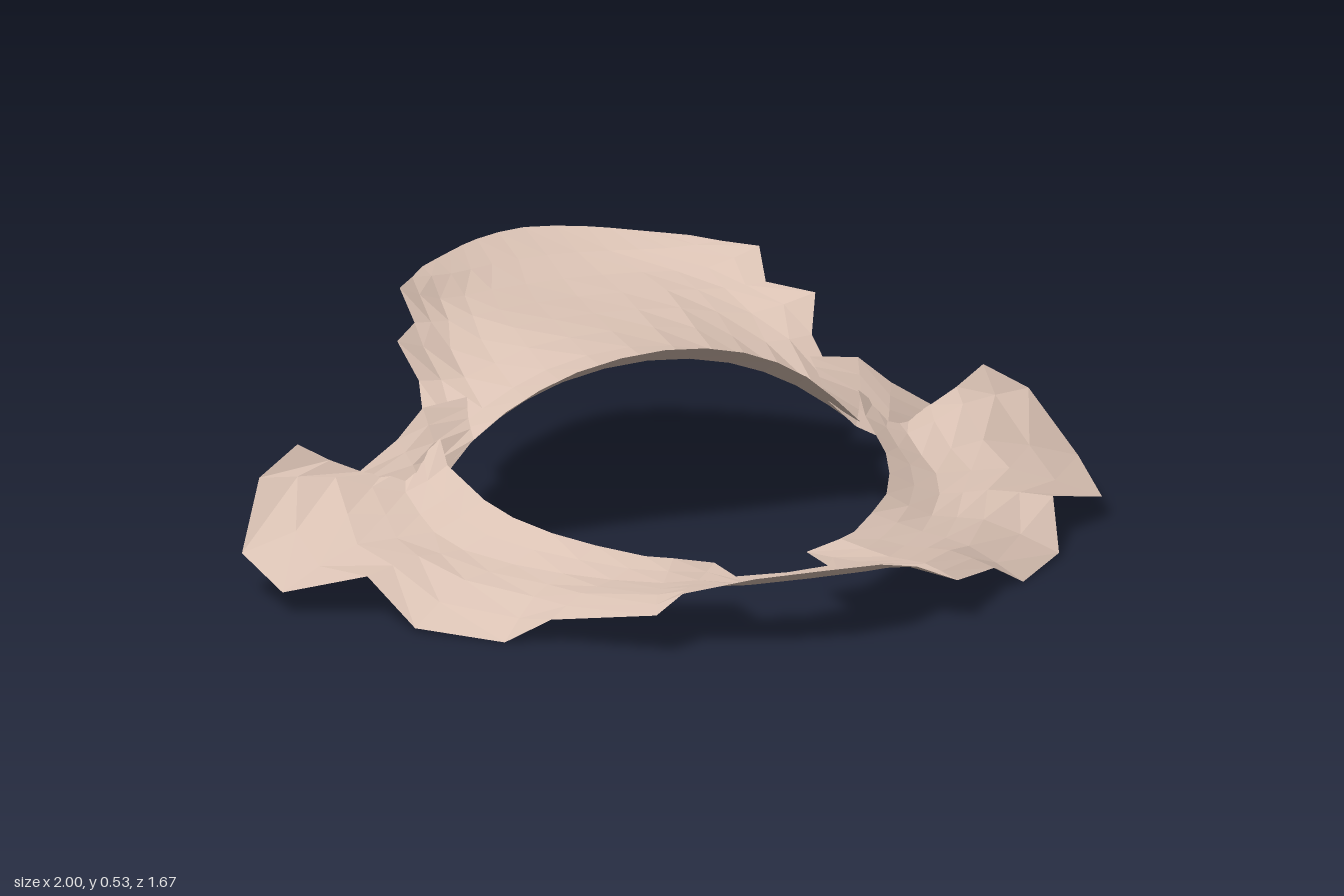
import * as THREE from 'three';

const cloth = new THREE.MeshStandardMaterial({ color: 0xd9c1b3, side: THREE.DoubleSide, flatShading: true });
cloth.name = 'pale cloth';

const flip = ([x, y, z]) => [-x, y, z];

// Sheet lofted through cross-sections, each smoothed into n segments
function loft(name, sections, n) {
  const pos = [], idx = [];
  sections.forEach((s, r) => {
    const curve = new THREE.CatmullRomCurve3(s.map(p => new THREE.Vector3(...p)));
    for (let i = 0; i <= n; i++) pos.push(...curve.getPoint(i / n).toArray());
    if (r === 0) return;
    for (let i = 0; i < n; i++) {
      const a = (r - 1) * (n + 1) + i, b = a + n + 1;
      idx.push(a, a + 1, b, a + 1, b + 1, b);
    }
  });
  const g = new THREE.BufferGeometry();
  g.setAttribute('position', new THREE.Float32BufferAttribute(pos, 3));
  g.setIndex(idx);
  g.computeVertexNormals();
  const mesh = new THREE.Mesh(g, cloth);
  mesh.name = name;
  return mesh;
}

// Back panel rows, centre to left edge, from the neck arch to the rear rim
const backRows = [
  [[0, .46, -.05], [.2, .425, -.075], [.36, .345, -.1], [.5, .22, -.13]],
  [[0, .41, -.15], [.2, .38, -.16], [.36, .31, -.16], [.51, .2, -.15]],
  [[0, .415, -.25], [.2, .385, -.25], [.36, .32, -.23], [.5, .24, -.21]],
  [[0, .425, -.35], [.2, .41, -.35], [.36, .365, -.33], [.47, .37, -.33]],
  [[0, .44, -.45], [.2, .435, -.43], [.36, .41, -.41], [.5, .45, -.38]],
  [[0, .455, -.54], [.2, .455, -.51], [.33, .45, -.49], [.42, .46, -.47]],
  [[0, .475, -.62], [.18, .475, -.6], [.32, .48, -.56], [.43, .525, -.53]],
  [[0, .505, -.71], [.14, .505, -.69], [.26, .51, -.64], [.37, .525, -.6]],
  [[0, .535, -.84], [.13, .533, -.8], [.22, .53, -.74], [.32, .528, -.66]],
];

// Front collar sections, inner to outer edge, from shoulder to front centre
const collarSections = [
  [[.5, .29, -.14], [.58, .23, -.15], [.68, .23, -.16], [.82, .3, -.19]],
  [[.5, .24, -.1], [.6, .19, -.1], [.75, .23, -.14], [.92, .24, -.17]],
  [[.49, .22, -.02], [.6, .16, -.02], [.76, .17, -.05], [1, .1, -.08]],
  [[.48, .2, .06], [.6, .14, .06], [.78, .13, .05], [.98, .055, .1]],
  [[.45, .18, .15], [.57, .12, .15], [.68, .12, .16], [.82, .1, .2]],
  [[.4, .165, .25], [.5, .11, .27], [.62, .09, .28], [.77, .015, .35]],
  [[.33, .15, .33], [.43, .11, .38], [.52, .08, .43], [.62, .005, .5]],
  [[.25, .14, .42], [.35, .11, .47], [.44, .1, .51], [.53, .06, .55]],
  [[.2, .14, .46], [.27, .12, .57], [.32, .12, .65], [.36, .1, .74]],
  [[.11, .125, .48], [.19, .12, .58], [.24, .125, .64], [.28, .13, .7]],
  [[.11, .125, .6], [.12, .13, .68], [.14, .145, .74], [.15, .175, .8]],
  [[0, .13, .63], [0, .135, .7], [0, .15, .76], [0, .185, .83]],
];

// Upright fold joining the back panel to each shoulder
const foldSections = [
  [[.42, .28, -.14], [.42, .32, -.17], [.41, .36, -.2]],
  [[.49, .21, -.13], [.51, .28, -.15], [.52, .35, -.19]],
  [[.55, .18, -.1], [.57, .24, -.13], [.59, .29, -.17]],
  [[.63, .18, -.12], [.66, .2, -.14], [.7, .22, -.16]],
];

export function createModel() {
  const group = new THREE.Group();
  group.name = 'draped collar';

  // Back panel, mirrored across the centre
  const rows = backRows.map(r => [...r.slice(1).reverse().map(flip), ...r]);
  group.add(loft('backPanel', rows, 12));

  // Front collar, running from the left shoulder to the right one
  const right = collarSections.slice(0, -1).reverse().map(s => s.map(flip));
  group.add(loft('frontCollar', [...collarSections, ...right], 6));

  // Shoulder folds
  group.add(loft('leftShoulderFold', foldSections, 4));
  const mirrored = foldSections.map(s => s.map(flip)).reverse();
  group.add(loft('rightShoulderFold', mirrored, 4));
  return group;
}
